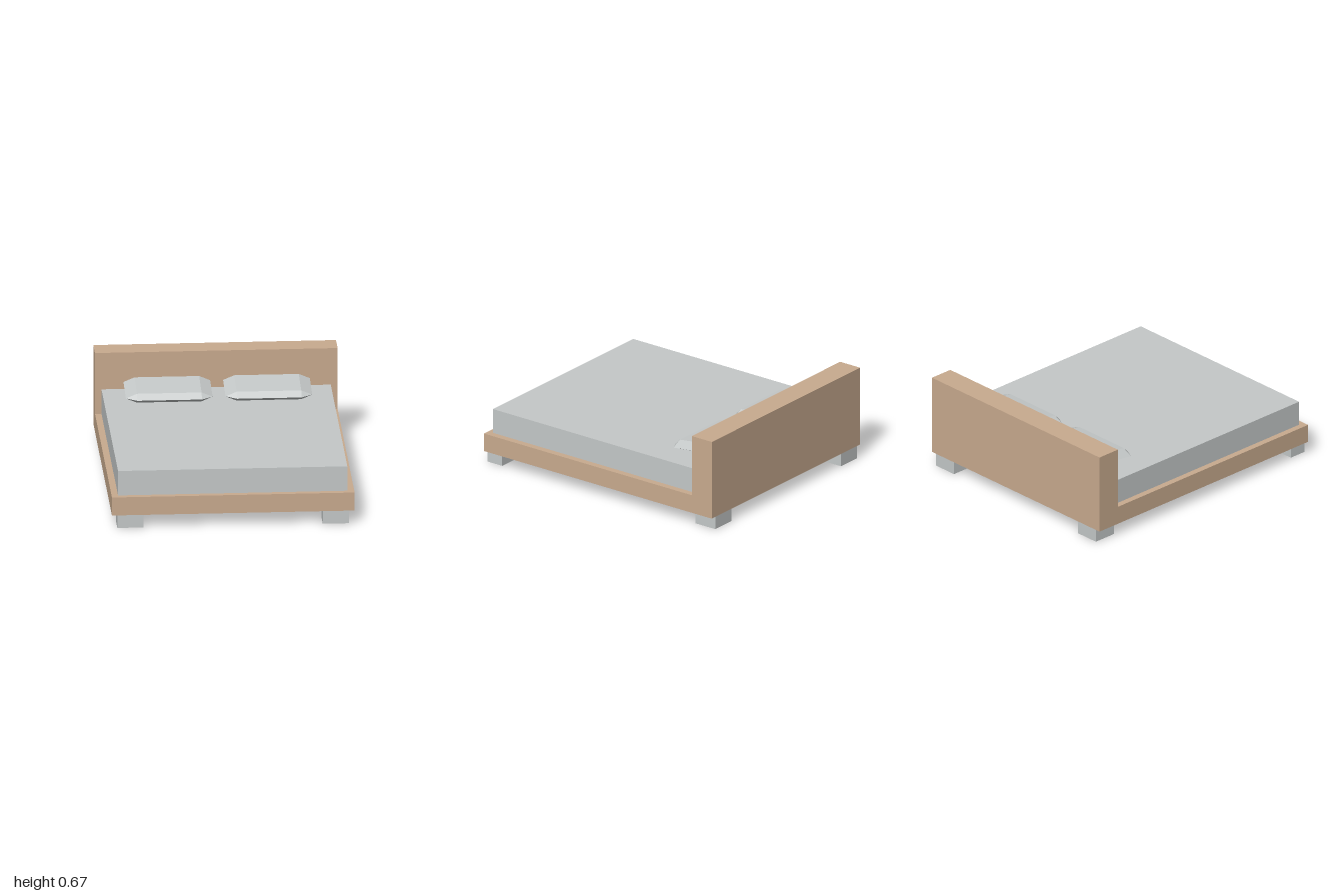
import * as THREE from 'three';
import { ConvexGeometry } from 'three/addons/geometries/ConvexGeometry.js';

const wood = new THREE.MeshStandardMaterial({ name: 'light wood', color: 0xc9ab8f });
const grey = new THREE.MeshStandardMaterial({ name: 'pale grey', color: 0xc5c9c9 });

function add(parent, name, geometry, material) {
  const mesh = new THREE.Mesh(geometry, material);
  mesh.name = name;
  parent.add(mesh);
  return mesh;
}

// Box given by its lower and upper limits on each axis
function addBox(parent, name, material, [x0, x1], [y0, y1], [z0, z1]) {
  const mesh = add(parent, name, new THREE.BoxGeometry(x1 - x0, y1 - y0, z1 - z0), material);
  mesh.position.set((x0 + x1) / 2, (y0 + y1) / 2, (z0 + z1) / 2);
  return mesh;
}

// Bevelled cushion: flat top and bottom panels around an octagonal middle seam
function pillowGeometry() {
  const points = [];
  for (const sx of [-1, 1]) {
    for (const sz of [-1, 1]) {
      points.push(
        new THREE.Vector3(sx * 0.225, 0.034, sz * 0.133),
        new THREE.Vector3(sx * 0.225, -0.034, sz * 0.133),
        new THREE.Vector3(sx * 0.302, 0, sz * 0.133),
        new THREE.Vector3(sx * 0.225, 0, sz * 0.176)
      );
    }
  }
  return new ConvexGeometry(points);
}

export function createModel() {
  const bed = new THREE.Group();
  bed.name = 'bed';

  // Base and headboard as one L-shaped side profile, extruded across the width
  const profile = new THREE.Shape([
    [-1, 0.092], [1, 0.092], [1, 0.224], [-0.825, 0.224], [-0.825, 0.67], [-1, 0.67],
  ].map(([z, y]) => new THREE.Vector2(z, y)));
  const width = 1.69;
  const frame = new THREE.ExtrudeGeometry(profile, { depth: width, bevelEnabled: false });
  frame.translate(0, 0, -width / 2);
  frame.rotateY(-Math.PI / 2);
  add(bed, 'frameWithHeadboard', frame, wood);

  addBox(bed, 'mattress', grey, [-0.8, 0.797], [0.224, 0.403], [-0.825, 0.957]);

  // Four feet, the rear pair as deep as the headboard
  for (const [side, xs] of [['right', [-0.808, -0.626]], ['left', [0.623, 0.805]]]) {
    addBox(bed, side + 'FrontFoot', grey, xs, [0, 0.092], [0.87, 1]);
    addBox(bed, side + 'RearFoot', grey, xs, [0, 0.092], [-1, -0.825]);
  }

  // Two pillows leaning slightly up toward the headboard
  const pillow = pillowGeometry();
  for (const [name, x] of [['rightPillow', -0.348], ['leftPillow', 0.346]]) {
    const mesh = add(bed, name, pillow, grey);
    mesh.position.set(x, 0.454, -0.645);
    mesh.rotation.x = 0.12;
  }

  return bed;
}
